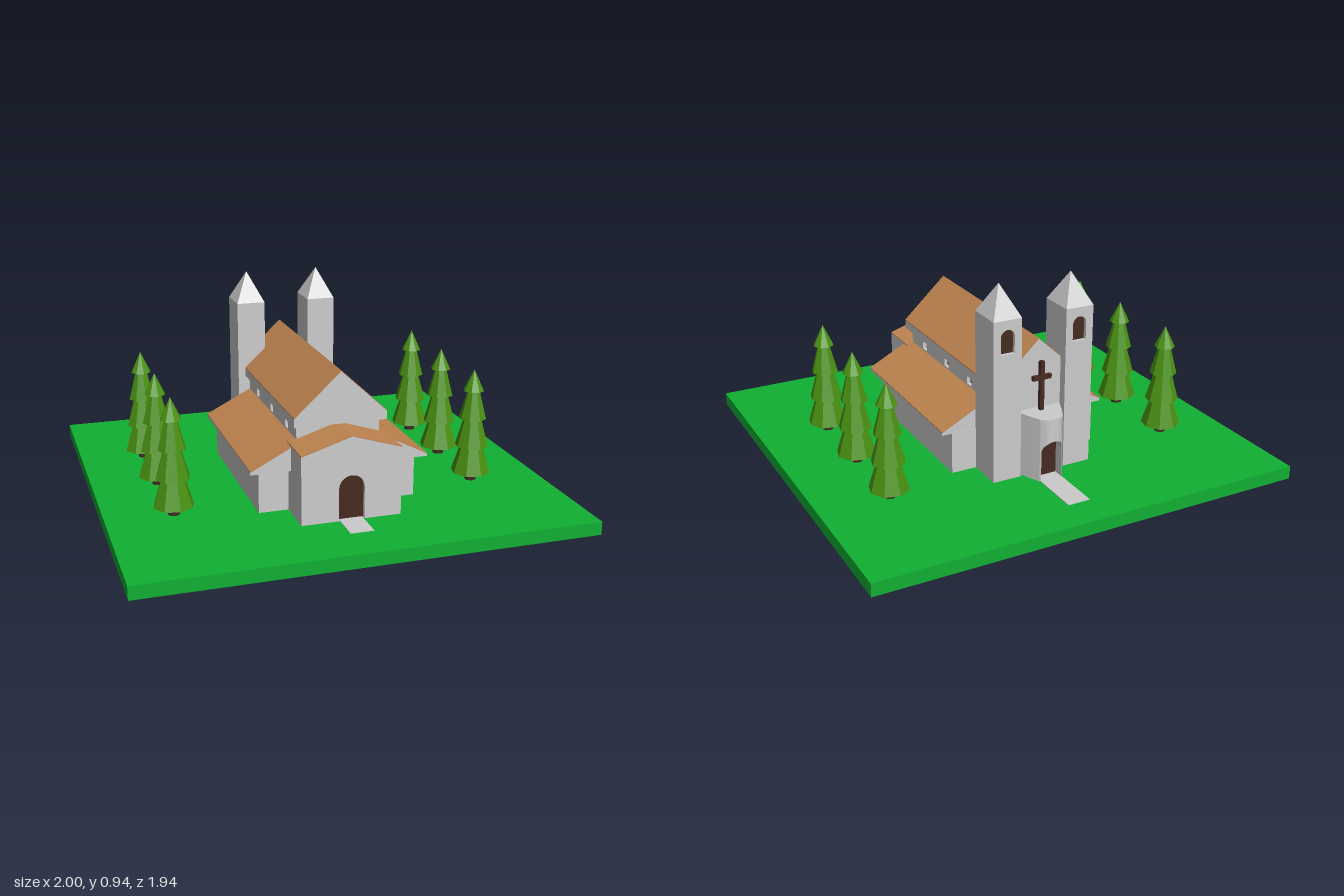
import * as THREE from 'three';

const mat = (color) => new THREE.MeshStandardMaterial({ color, flatShading: true, side: THREE.DoubleSide });
const stone = mat(0xcccccc), tile = mat(0xc08550), grass = mat(0x10b032);
const leaf = mat(0x4a9212), wood = mat(0x452a20);
const GROUND = 0.06;

function add(parent, name, geometry, material, x = 0, y = 0, z = 0) {
  const m = new THREE.Mesh(geometry, material);
  m.name = name;
  m.position.set(x, y, z);
  parent.add(m);
  return m;
}

// Box given by its limits on each axis
function block(parent, name, material, [x0, x1], [y0, y1], [z0, z1]) {
  return add(parent, name, new THREE.BoxGeometry(x1 - x0, y1 - y0, z1 - z0), material,
    (x0 + x1) / 2, (y0 + y1) / 2, (z0 + z1) / 2);
}

const polygon = (pts) => new THREE.Shape(pts.map(([x, y]) => new THREE.Vector2(x, y)));

// Outline in x and y, carried from z0 to z1
function prism(parent, name, material, shape, z0, z1) {
  const g = new THREE.ExtrudeGeometry(shape, { depth: z1 - z0, bevelEnabled: false, curveSegments: 8 });
  return add(parent, name, g, material, 0, 0, z0);
}

// Thin tiled sheet lying on the slope between two points
function roofSheet(parent, name, [ax, ay], [bx, by], z0, z1) {
  const t = 0.004;
  prism(parent, name, tile, polygon([[ax, ay], [bx, by], [bx, by + t], [ax, ay + t]]), z0, z1);
}

// Round-headed opening standing on y
function arch(Kind, x, y, w, h) {
  const r = w / 2, p = new Kind();
  p.moveTo(x - r, y);
  p.lineTo(x + r, y);
  p.lineTo(x + r, y + h - r);
  p.absarc(x, y + h - r, r, 0, Math.PI, false);
  p.lineTo(x - r, y);
  return p;
}

// Wall with its face at z = 0, pierced by openings with dark panels set behind
function archedWall(parent, name, outline, openings, depth = 0.02) {
  const g = new THREE.Group();
  g.name = name;
  const shape = polygon(outline);
  openings.forEach((o) => {
    shape.holes.push(arch(THREE.Path, ...o));
    prism(g, 'openingPanel', wood, arch(THREE.Shape, ...o), -depth, -depth + 0.003);
  });
  prism(g, 'wall', stone, shape, -depth, 0);
  parent.add(g);
  return g;
}

function makeNave() {
  const g = new THREE.Group();
  g.name = 'nave';
  block(g, 'naveCore', stone, [-0.167, 0.167], [GROUND, 0.45], [-0.455, 0.45]);
  const holes = [-0.307, -0.07, 0.165].map((x) => [x, 0.383, 0.042, 0.047]);
  for (const s of [-1, 1]) {
    const wall = archedWall(g, 'clerestoryWall', [[-0.45, GROUND], [0.455, GROUND], [0.455, 0.45], [-0.45, 0.45]],
      holes.map(([x, ...rest]) => [s * x, ...rest]));
    if (s < 0) wall.children.forEach((c) => c.scale.set(-1, 1, 1));
    if (s < 0) wall.children.forEach((c) => { c.scale.x = 1; });
    wall.rotation.y = s * Math.PI / 2;
    wall.position.x = s * 0.187;
    if (s < 0) wall.position.z = -0.005;
    // Side aisle with its lean-to roof
    block(g, 'aisle', stone, [Math.min(s * 0.18, s * 0.355), Math.max(s * 0.18, s * 0.355)], [GROUND, 0.25], [-0.33, 0.45]);
    prism(g, 'aisleRoofBody', stone,
      polygon([[s * 0.4, 0.25], [s * 0.4, 0.262], [s * 0.18, 0.375], [s * 0.18, 0.25]]), -0.328, 0.486);
    roofSheet(g, 'aisleRoof', [s * 0.4, 0.262], [s * 0.18, 0.375], -0.328, 0.486);
    roofSheet(g, 'naveRoof', [s * 0.208, 0.478], [0, 0.671], -0.455, 0.486);
  }
  prism(g, 'naveGable', stone,
    polygon([[-0.208, 0.44], [0.208, 0.44], [0.208, 0.478], [0, 0.671], [-0.208, 0.478]]), -0.455, 0.486);
  return g;
}

function makePorch() {
  const g = new THREE.Group();
  g.name = 'porch';
  const outline = [[-0.222, GROUND], [0.222, GROUND], [0.222, 0.363], [0, 0.433], [-0.222, 0.363]];
  archedWall(g, 'porchFront', outline, [[0, GROUND + 0.001, 0.114, 0.2]]).position.z = 0.636;
  prism(g, 'porchBody', stone, polygon(outline), 0.45, 0.616);
  for (const s of [-1, 1]) roofSheet(g, 'porchRoof', [s * 0.222, 0.363], [0, 0.433], 0.43, 0.636);
  return g;
}

function makeTower() {
  const g = new THREE.Group();
  g.name = 'tower';
  const w = 0.0665, d = 0.0835;
  block(g, 'towerBody', stone, [-w, w], [GROUND, 0.797], [-d + 0.02, d]);
  const back = archedWall(g, 'belfryWall', [[-w, GROUND], [w, GROUND], [w, 0.797], [-w, 0.797]], [[0, 0.645, 0.065, 0.11]]);
  back.rotation.y = Math.PI;
  back.position.z = -d;
  const cap = new THREE.ConeGeometry(Math.SQRT2, 0.138, 4, 1).rotateY(Math.PI / 4).scale(w, 1, d);
  add(g, 'spire', cap, stone, 0, 0.797 + 0.069, 0);
  return g;
}

// Rounded back entrance: vertical strips following a curve, left open under the door arch
function makeApse() {
  const g = new THREE.Group();
  g.name = 'backEntrance';
  const top = 0.354, spring = 0.2, r = 0.05, inner = -0.53;
  const plan = [[0, -0.6], [0.03, -0.597], [0.055, -0.574], [0.08, -0.52], [0.108, -0.455]];
  const zAt = (x) => {
    const a = Math.abs(x), i = Math.max(1, plan.findIndex((p) => p[0] >= a - 1e-9));
    const [p, q] = [plan[i - 1], plan[i]];
    return p[1] + (q[1] - p[1]) * (a - p[0]) / (q[0] - p[0]);
  };
  const stations = [[-0.108, GROUND], [-0.08, GROUND], [-0.055, GROUND], [-r, GROUND]];
  for (let i = 0; i <= 12; i++) {
    const a = Math.PI * (1 - i / 12);
    stations.push([r * Math.cos(a), spring + r * Math.sin(a)]);
  }
  stations.push([r, GROUND], [0.055, GROUND], [0.08, GROUND], [0.108, GROUND]);
  const pos = [];
  const quad = (a, b, c, d) => pos.push(...a, ...b, ...c, ...a, ...c, ...d);
  for (let i = 0; i + 1 < stations.length; i++) {
    const [[x0, y0], [x1, y1]] = [stations[i], stations[i + 1]];
    const z0 = zAt(x0), z1 = zAt(x1);
    if (x1 - x0 > 1e-6) {
      quad([x0, y0, z0], [x0, top, z0], [x1, top, z1], [x1, y1, z1]);
      quad([x0, top, z0], [x0, top, -0.45], [x1, top, -0.45], [x1, top, z1]);
    }
    // Door reveal
    if (Math.abs(x0) <= r + 1e-6 && Math.abs(x1) <= r + 1e-6) {
      quad([x0, y0, z0], [x1, y1, z1], [x1, y1, inner], [x0, y0, inner]);
    }
  }
  const geo = new THREE.BufferGeometry();
  geo.setAttribute('position', new THREE.Float32BufferAttribute(pos, 3));
  geo.computeVertexNormals();
  add(g, 'curvedWall', geo, stone);
  prism(g, 'backDoor', wood, arch(THREE.Shape, 0, GROUND, 2 * r, 0.19), inner, inner + 0.01);
  // Cross above the entrance
  block(g, 'crossUpright', wood, [-0.01, 0.01], [top, 0.58], [-0.491, -0.473]);
  block(g, 'crossArm', wood, [-0.045, 0.045], [0.495, 0.515], [-0.491, -0.473]);
  return g;
}

function makeTree() {
  const g = new THREE.Group();
  g.name = 'tree';
  add(g, 'trunk', new THREE.CylinderGeometry(0.027, 0.027, 0.05, 8), wood, 0, GROUND + 0.025, 0);
  // Stacked eight-sided tiers: bottom, top, lower radius, upper radius
  [[0.1, 0.23, 0.09, 0.05], [0.225, 0.36, 0.076, 0.038], [0.355, 0.49, 0.062, 0.026], [0.485, 0.583, 0.047, 0]]
    .forEach(([y0, y1, r0, r1]) => {
      const tier = new THREE.CylinderGeometry(r1, r0, y1 - y0, 8).rotateY(0.15);
      add(g, 'foliageTier', tier, leaf, 0, (y0 + y1) / 2, 0);
    });
  return g;
}

export function createModel() {
  const model = new THREE.Group();
  model.name = 'church';
  block(model, 'ground', grass, [-1, 1], [0, GROUND], [-0.968, 0.968]);
  block(model, 'frontPath', stone, [-0.052, 0.052], [GROUND - 0.01, GROUND + 0.003], [0.6, 0.77]);
  block(model, 'backPath', stone, [-0.052, 0.052], [GROUND - 0.01, GROUND + 0.003], [-0.81, -0.53]);
  model.add(makeNave(), makePorch(), makeApse());
  for (const s of [-1, 1]) {
    const tower = makeTower();
    tower.position.set(s * 0.1735 - 0.002, 0, -0.411);
    model.add(tower);
    for (const z of [-0.393, -0.02, 0.349]) {
      const tree = makeTree();
      tree.position.set(s * 0.691 - 0.012, 0, z);
      model.add(tree);
    }
  }
  return model;
}
